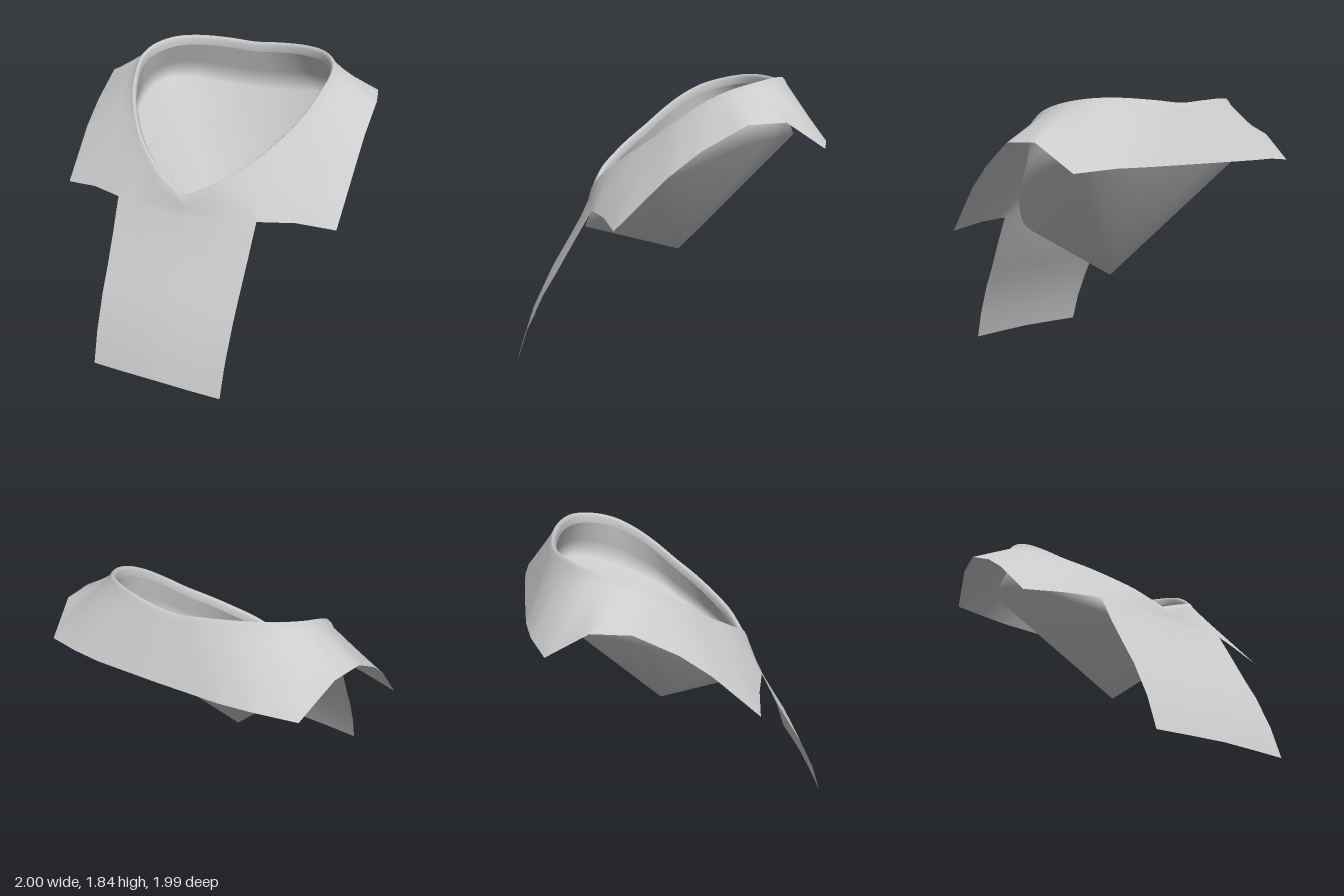
import * as THREE from 'three';
import { mergeGeometries, mergeVertices } from 'three/addons/utils/BufferGeometryUtils.js';

const STEPS = 4; // subdivisions between neighbouring control columns
const vec = (p) => new THREE.Vector3(...p);

// Control columns of the +x half, running from the front point round to the back
const RIM = [
  [0, 1.1, 0.475], [0.19, 1.2, 0.42], [0.32, 1.28, 0.34], [0.44, 1.37, 0.235], [0.55, 1.475, 0.095],
  [0.63, 1.585, -0.04], [0.68, 1.69, -0.19], [0.702, 1.765, -0.34], [0.672, 1.81, -0.49],
  [0.575, 1.838, -0.63], [0.42, 1.843, -0.72], [0.2, 1.83, -0.78], [0, 1.815, -0.795],
];
const EDGE = [
  [0, 0.98, 0.525], [0.25, 0.99, 0.51], [0.49, 1.01, 0.48], [0.72, 1.01, 0.4], [0.965, 0.98, 0.34],
  [0.985, 1.29, 0.03], [0.99, 1.44, -0.16], [1, 1.59, -0.42], [0.96, 1.6, -0.65],
  [0.88, 1.44, -0.9], [0.64, 1.46, -0.97], [0.43, 1.46, -0.995], [0, 1.46, -1],
];
const BOWL = [
  [0, 0.8, 0.55], [0.2, 0.86, 0.5], [0.35, 0.94, 0.42], [0.47, 1.03, 0.29], [0.575, 1.13, 0.14],
  [0.66, 1.23, 0], [0.71, 1.32, -0.18], [0.73, 1.4, -0.35], [0.73, 1.46, -0.52],
  [0.68, 1.49, -0.68], [0.5, 1.49, -0.79], [0.25, 1.46, -0.84], [0, 1.45, -0.85],
];
const APEX = new THREE.Vector3(0, 0.63, -0.11);

// Samples a half outline and mirrors it into a closed ring
function ring(half, smooth) {
  const pts = half.map(vec);
  const segs = pts.length - 1;
  const out = [];
  const beyond = pts[segs - 1].clone();
  beyond.x *= -1;
  const curve = new THREE.CatmullRomCurve3([...pts, beyond]);
  for (let i = 0; i <= segs * STEPS; i++) {
    const k = Math.min(Math.floor(i / STEPS), segs - 1);
    out.push(smooth
      ? curve.getPoint(i / ((segs + 1) * STEPS))
      : pts[k].clone().lerp(pts[k + 1], i / STEPS - k));
  }
  out[0].x = out[segs * STEPS].x = 0;
  for (let i = segs * STEPS - 1; i > 0; i--) {
    out.push(out[i].clone().multiply(new THREE.Vector3(-1, 1, 1)));
  }
  return out;
}

// Skins a list of rows of points
function skin(rows, closed) {
  const n = rows[0].length;
  const index = [];
  for (let r = 0; r < rows.length - 1; r++) {
    for (let c = 0; c < (closed ? n : n - 1); c++) {
      const a = r * n + c, b = r * n + (c + 1) % n;
      index.push(a, a + n, b, b, a + n, b + n);
    }
  }
  return new THREE.BufferGeometry().setFromPoints(rows.flat()).setIndex(index);
}

export function createModel() {
  const group = new THREE.Group();
  const cloth = new THREE.MeshStandardMaterial({ color: 0xcccccc, side: THREE.DoubleSide });
  cloth.name = 'light grey cloth';

  // Welds the given skins into one smooth part
  const add = (name, ...skins) => {
    const geometry = mergeVertices(mergeGeometries(skins), 1e-5);
    geometry.computeVertexNormals();
    const mesh = new THREE.Mesh(geometry, cloth);
    mesh.name = name;
    group.add(mesh);
  };

  const rim = ring(RIM, true);
  const edge = ring(EDGE, false);
  const bowl = ring(BOWL, true);
  const mix = (a, b, t) => a.map((p, i) => p.clone().lerp(b[i], t));

  // Rolled rim: rows shifted away from the middle of the opening and down
  const roll = (out, down) => rim.map((p) => {
    const dir = new THREE.Vector3(p.x, 0, p.z + 0.2).normalize();
    return p.clone().addScaledVector(dir, out).add(new THREE.Vector3(0, -down, 0));
  });
  const lipUnder = roll(-0.02, 0.07);
  const lipOuter = roll(0.028, 0.04);

  // Shoulder cape from under the lip, over the crest and out to the edge
  const capeRows = [lipUnder, roll(-0.022, 0.025), roll(-0.01, 0.004), rim, roll(0.014, 0.012)];
  for (let k = 0; k <= 5; k++) capeRows.push(mix(lipOuter, edge, k / 5));

  // Front panel hanging from the chest line: height, depth, half width
  const span = 2 * STEPS;
  const chest = [];
  for (let i = -span; i <= span; i++) chest.push(edge[(i + edge.length) % edge.length]);
  const panel = [
    [0.8, 0.595, 0.482], [0.6, 0.71, 0.472], [0.45, 0.8, 0.467],
    [0.22, 0.91, 0.46], [0.01, 0.98, 0.455],
  ];
  const panelRows = [chest, ...panel.map(([y, z, w]) => chest.map((p) => new THREE.Vector3(
    p.x * w / 0.49, y - 0.02 * Math.abs(p.x) * (1 - y), z + (p.z - 0.48) * 0.3 + 0.015 * p.x,
  )))];
  add('capeWithFrontPanel', skin(capeRows, true), skin(panelRows, false));

  // Pouch: wall down from the lip, then straight sides to the low point
  const low = bowl.map(() => APEX);
  add('pouch', skin([lipUnder, mix(lipUnder, bowl, 0.5), bowl, low], true));

  return group;
}
